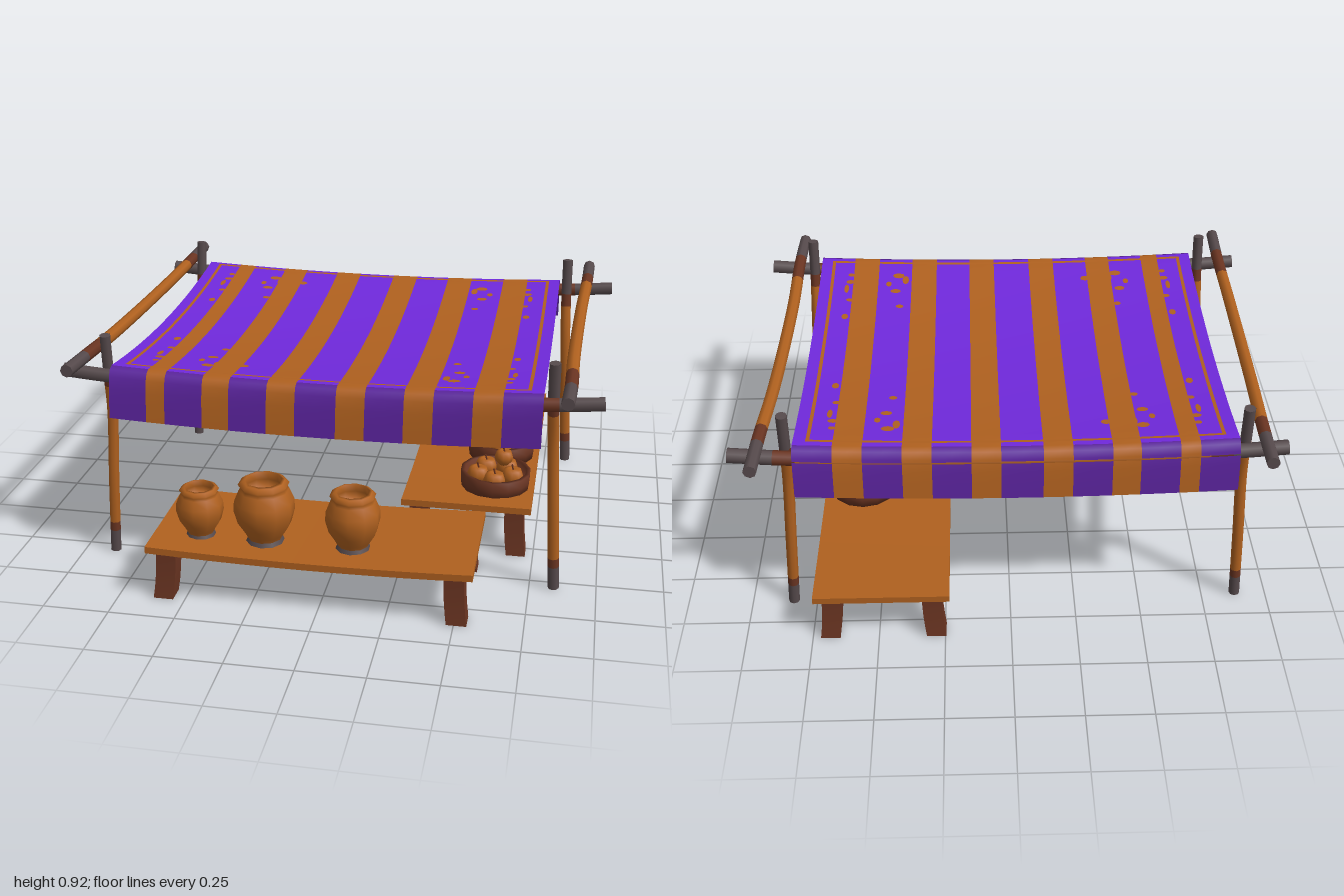
import * as THREE from 'three';

const mat = (name, color) => {
  const m = new THREE.MeshStandardMaterial({ color, side: THREE.DoubleSide });
  m.name = name;
  return m;
};

export function createModel() {
  const root = new THREE.Group();
  root.name = 'marketStall';
  const wood = mat('warm wood', 0xb0611f);
  const rust = mat('dark red wood', 0x6b3522);
  const grey = mat('charred grey', 0x564a4c);
  const purple = mat('purple cloth', 0x7029dc);
  const darkPurple = mat('dark purple valance', 0x5a239c);

  const add = (name, geo, material, parent = root) => {
    const m = new THREE.Mesh(geo, material);
    m.name = name;
    parent.add(m);
    return m;
  };
  // Move every vertex of a geometry by a rule
  const warp = (geo, rule) => {
    const p = geo.attributes.position;
    const v = new THREE.Vector3();
    for (let i = 0; i < p.count; i++) {
      rule(v.fromBufferAttribute(p, i));
      p.setXYZ(i, v.x, v.y, v.z);
    }
    geo.computeVertexNormals();
    return geo;
  };

  // Bent pole: one tube banded grey, rust, wood, rust, grey, with end caps
  const pole = (name, points, r, stops) => {
    const g = new THREE.Group();
    g.name = name;
    root.add(g);
    const curve = new THREE.CatmullRomCurve3(points.map(p => new THREE.Vector3(...p)));
    const seg = 50, radial = 8;
    const geo = new THREE.TubeGeometry(curve, seg, r, radial);
    const edges = [0, ...stops, 1].map(t => Math.round(t * seg) * radial * 6);
    for (let i = 0; i < 5; i++) geo.addGroup(edges[i], edges[i + 1] - edges[i], [0, 1, 2, 1, 0][i]);
    add(name + 'Shaft', geo, [grey, rust, wood], g);
    for (const t of [0, 1]) {
      const cap = add(name + 'End', new THREE.CircleGeometry(r, radial), grey, g);
      const c = curve.getPointAt(t);
      cap.position.copy(c);
      cap.lookAt(c.clone().addScaledVector(curve.getTangentAt(t), t ? 1 : -1));
    }
  };

  const cx = -0.02, cz = -0.045;
  // Corner posts, leaning inward in x and outward in z at the top
  for (const s of [-1, 1]) for (const f of [-1, 1]) {
    const at = (x, y, z) => [cx + s * x, y, cz + f * z];
    pole('cornerPost', [
      at(0.861, 0, 0.583), at(0.845, 0.3, 0.592), at(0.829, 0.6, 0.594),
      at(0.823, 0.76, 0.62), at(0.821, 0.92, 0.635),
    ], 0.021, [0.1, 0.13, 0.78, 0.83]);
  }
  // Cross bars under the cloth
  for (const [z, dx] of [[0.614, -0.008], [-0.728, 0.007]]) {
    pole('crossBar', [
      [dx - 0.99, 0.784, z], [dx - 0.8, 0.77, z], [dx - 0.35, 0.755, z],
      [dx + 0.35, 0.755, z], [dx + 0.8, 0.772, z], [dx + 0.99, 0.788, z],
    ], 0.027, [0.09, 0.13, 0.87, 0.91]);
  }
  // Side rails
  for (const x of [-0.91, 0.876]) {
    pole('sideRail', [
      [x - 0.021, 0.837, 0.76], [x - 0.015, 0.83, 0.56], [x - 0.016, 0.812, 0.25],
      [x - 0.003, 0.812, -0.35], [x + 0.012, 0.828, -0.68], [x + 0.017, 0.837, -0.89],
    ], 0.024, [0.1, 0.19, 0.83, 0.9]);
  }

  // Cloth section along z: valance, roll over the bar, sagging span, mirrored
  const sagX = x => 0.02 * Math.min(1, ((x - cx) / 0.79) ** 2);
  const sagZ = z => 0.756 + 0.042 * (z / 0.67) ** 2;
  const section = [[-0.73, 0.612], [-0.724, 0.66], [-0.716, 0.72], [-0.706, 0.765], [-0.692, 0.789]];
  for (let i = 0; i <= 16; i++) {
    const z = -0.67 + i * 1.34 / 16;
    section.push([z, sagZ(z)]);
  }
  for (let i = 4; i >= 0; i--) section.push([-section[i][0], section[i][1]]);

  // Striped awning, its purple stripes darker on the valances
  const cuts = [-0.81, -0.67, -0.6, -0.46, -0.36, -0.22, -0.115, 0.035, 0.14, 0.28, 0.385, 0.525, 0.63, 0.77];
  const awning = new THREE.Group();
  awning.name = 'awning';
  root.add(awning);
  for (let i = 0; i < cuts.length - 1; i++) {
    const w = cuts[i + 1] - cuts[i], mid = (cuts[i + 1] + cuts[i]) / 2;
    const n = section.length - 1, row = 12;
    const geo = new THREE.PlaneGeometry(w, n, 2, n).rotateX(-Math.PI / 2);
    geo.addGroup(0, 5 * row, 1);
    geo.addGroup(5 * row, (n - 10) * row, 0);
    geo.addGroup((n - 5) * row, 5 * row, 1);
    add('clothStripe', warp(geo, v => {
      const [z, y] = section[Math.round(v.z + n / 2)];
      const x = v.x + mid;
      v.set(x, y + sagX(x), z + cz);
    }), i % 2 ? [wood, wood] : [purple, darkPurple], awning);
  }

  // Embroidery laid just above the cloth
  const lay = (name, geo, x, z) => add(name, warp(geo.rotateX(-Math.PI / 2), v => {
    v.x += x;
    v.z += z;
    v.y = sagZ(v.z - cz) + sagX(v.x) + 0.004;
  }), wood, awning);
  for (const s of [-1, 1]) {
    lay('borderTrim', new THREE.PlaneGeometry(1.49, 0.013, 24, 1), cx, cz + s * 0.642);
    lay('borderTrim', new THREE.PlaneGeometry(0.013, 1.284, 1, 24), cx + s * 0.738, cz);
    for (const f of [-1, 1]) {
      for (const [x, z, a, b] of [[0.66, 0.5, 0.02, 0.014], [0.675, 0.45, 0.01, 0.03], [0.655, 0.37, 0.018, 0.012],
        [0.67, 0.25, 0.014, 0.02], [0.66, 0.55, 0.014, 0.012], [0.46, 0.55, 0.025, 0.018], [0.47, 0.44, 0.022, 0.015],
        [0.43, 0.52, 0.014, 0.03], [0.33, 0.52, 0.02, 0.017], [0.45, 0.33, 0.016, 0.013], [0.5, 0.49, 0.012, 0.018]]) {
        lay('stitchedLeaf', new THREE.CircleGeometry(1, 8).scale(a, b, 1), cx + s * x, cz + f * z);
      }
    }
  }

  // Benches: sagging board on four legs that kick outward
  const bench = (name, x, z, length, width, turn, legX, legZ) => {
    const g = new THREE.Group();
    g.name = name;
    g.position.set(x, 0, z);
    g.rotation.y = turn;
    root.add(g);
    const board = new THREE.BoxGeometry(length, 0.026, width, 10, 1, 1);
    add(name + 'Board', warp(board, v => { v.y += 0.193 + 0.013 * (2 * v.x / length) ** 2; }), wood, g);
    for (const s of [-1, 1]) for (const f of [-1, 1]) {
      const leg = new THREE.BoxGeometry(0.074, 0.19, 0.074, 1, 4, 1);
      add(name + 'Leg', warp(leg, v => {
        v.y += 0.095;
        const k = (1 - v.y / 0.19) ** 2 * 0.014;
        v.x += s * (legX + k);
        v.z += f * (legZ + k);
      }), rust, g);
    }
  };
  bench('frontBench', -0.035, 0.638, 1.2, 0.5, 0, 0.531, 0.185);
  bench('sideBench', 0.483, -0.26, 1.2, 0.505, Math.PI / 2, 0.531, 0.186);

  // Round-bellied open clay jars with a grey foot
  for (const [x, z, r, h, y] of [[-0.465, 0.735, 0.088, 0.2, 0.21], [-0.22, 0.733, 0.113, 0.253, 0.205], [0.11, 0.733, 0.102, 0.233, 0.205]]) {
    const jar = new THREE.Group();
    jar.name = 'jar';
    jar.position.set(x, y, z);
    root.add(jar);
    const profile = [[0.56, 0.06], [0.64, 0.13], [0.88, 0.3], [1, 0.5], [0.98, 0.66], [0.82, 0.83],
      [0.76, 0.87], [0.84, 0.92], [0.7, 0.97], [0.6, 0.98], [0.6, 0.86], [0.7, 0.7], [0, 0.66]];
    add('jarBody', new THREE.LatheGeometry(profile.map(p => new THREE.Vector2(p[0] * r, p[1] * h)), 10), wood, jar);
    const foot = add('jarFoot', new THREE.CylinderGeometry(r * 0.57, r * 0.64, h * 0.07, 10), grey, jar);
    foot.position.y = h * 0.035;
  }

  // Fruit with a small stem
  const fruit = (parent, x, y, z, r) => {
    const shape = [[0, -0.8], [0.5, -0.85], [0.9, -0.4], [1, 0.1], [0.8, 0.65], [0.4, 0.8], [0, 0.6]];
    add('fruit', new THREE.LatheGeometry(shape.map(p => new THREE.Vector2(p[0] * r, p[1] * r)), 9), wood, parent).position.set(x, y, z);
    const stem = add('fruitStem', new THREE.CylinderGeometry(0.004, 0.003, 0.026, 5), rust, parent);
    stem.position.set(x, y + r * 0.85, z);
    stem.rotation.z = 0.25;
  };
  // Shallow bowls of fruit
  for (const [z, stacked] of [[0.13, true], [-0.185, false]]) {
    const bowl = new THREE.Group();
    bowl.name = 'fruitBowl';
    bowl.position.set(0.58, 0.202, z);
    root.add(bowl);
    const profile = [[0, 0.004], [0.134, 0.004], [0.139, 0.04], [0.14, 0.078], [0.124, 0.078], [0.118, 0.03], [0, 0.03]];
    add('bowl', new THREE.LatheGeometry(profile.map(p => new THREE.Vector2(...p)), 14), rust, bowl);
    for (let i = 0; i < 5; i++) {
      const a = i * Math.PI * 0.4 + 0.3;
      fruit(bowl, Math.cos(a) * 0.072, 0.063, Math.sin(a) * 0.072, 0.044);
    }
    if (stacked) fruit(bowl, 0.03, 0.131, -0.008, 0.037);
    else fruit(bowl, 0, 0.066, 0, 0.04);
  }

  return root;
}
